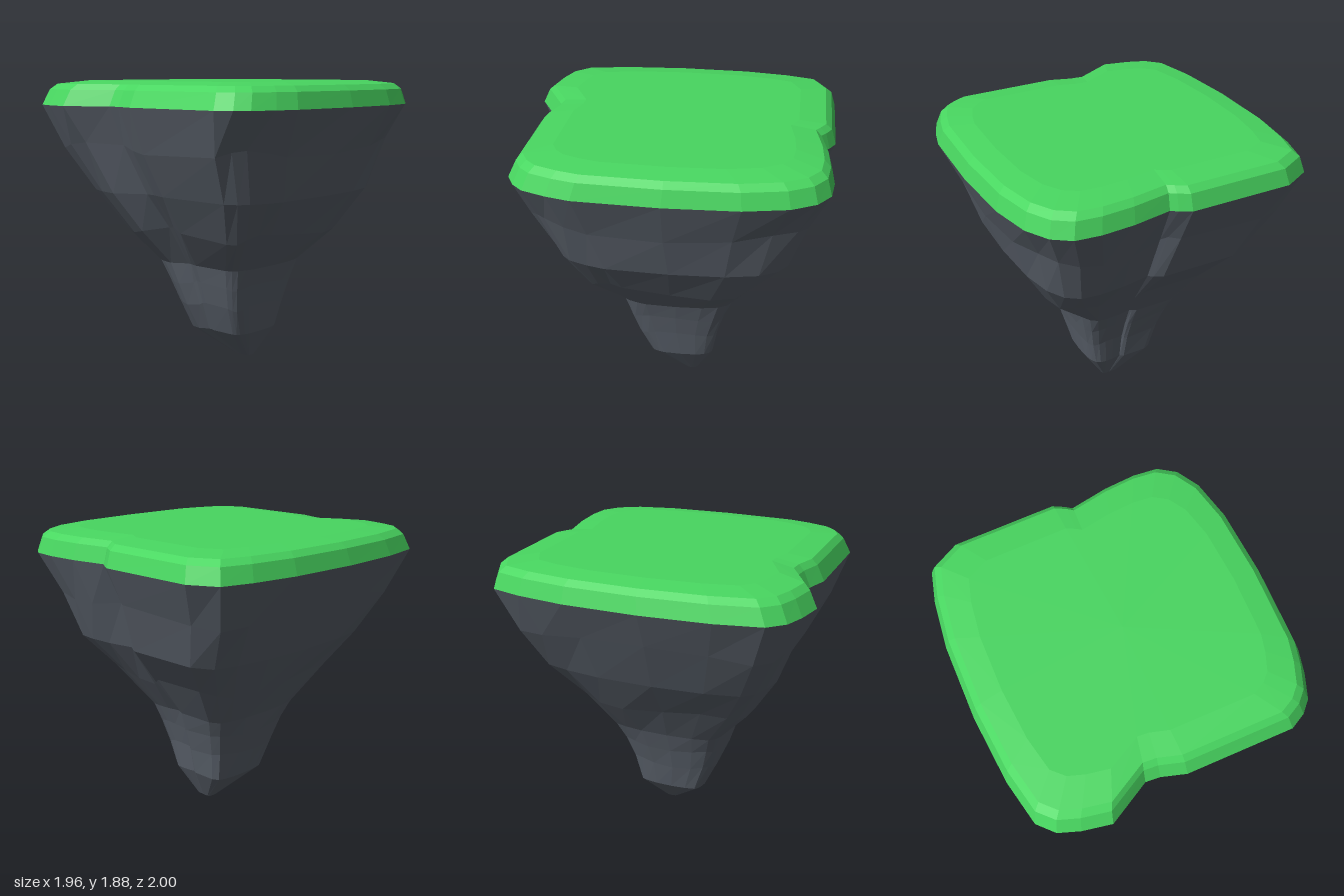
import * as THREE from 'three';

// Plan outline (x, z) of the island rim, anticlockwise from above, with a notch front and back
const OUTLINE = [
  [-0.91, 0.81], [-0.82, 0.91], [-0.69, 0.96], [-0.51, 1.0], [-0.24, 0.86], [-0.15, 0.87], [0, 0.92],
  [0.68, 0.94], [0.78, 0.89], [0.85, 0.82], [0.91, 0.67], [0.95, 0.52], [0.98, 0], [0.97, -0.45],
  [0.92, -0.72], [0.84, -0.87], [0.73, -0.95], [0.57, -0.97], [0.36, -0.96], [0.11, -0.92],
  [0.07, -0.95], [0, -0.99], [-0.67, -1.0], [-0.85, -0.91], [-0.91, -0.71], [-0.96, -0.4],
  [-0.98, 0.08], [-0.96, 0.52],
];

// Fits the outline into a box at height y; rough shifts the points a little for a chipped look
function ring(y, xMin, xMax, zMin, zMax, rough = 0) {
  return OUTLINE.map(([x, z], i) => {
    const chip = 1 - rough * (0.5 + 0.5 * Math.sin(i * 2.3 + y * 5));
    return new THREE.Vector3(
      (xMin + xMax) / 2 + (x / 0.98) * chip * (xMax - xMin) / 2,
      y + rough * 1.5 * Math.sin(i * 1.1 + y * 3),
      (zMin + zMax) / 2 + z * chip * (zMax - zMin) / 2
    );
  });
}

// Skins a stack of rings from bottom to top and closes the chosen ends
function loft(rings, closeBottom, closeTop) {
  const pos = [];
  const tri = (a, b, c) => pos.push(...a.toArray(), ...b.toArray(), ...c.toArray());
  const n = OUTLINE.length;
  const middle = (r) => r.reduce((s, p) => s.add(p), new THREE.Vector3()).divideScalar(n);
  for (let k = 0; k < rings.length - 1; k++) {
    const lo = rings[k], hi = rings[k + 1];
    for (let i = 0; i < n; i++) {
      const j = (i + 1) % n;
      tri(lo[i], lo[j], hi[j]);
      tri(lo[i], hi[j], hi[i]);
    }
  }
  const first = rings[0], last = rings[rings.length - 1];
  const c0 = middle(first), c1 = middle(last);
  for (let i = 0; i < n; i++) {
    const j = (i + 1) % n;
    if (closeBottom) tri(c0, first[j], first[i]);
    if (closeTop) tri(c1, last[i], last[j]);
  }
  const geo = new THREE.BufferGeometry();
  geo.setAttribute('position', new THREE.Float32BufferAttribute(pos, 3));
  geo.computeVertexNormals();
  return geo;
}

function part(name, geo, color) {
  const mesh = new THREE.Mesh(geo, new THREE.MeshStandardMaterial({ color, flatShading: true }));
  mesh.name = name;
  return mesh;
}

export function createModel() {
  const island = new THREE.Group();
  island.name = 'floatingIsland';

  // Tapering rock: y, xMin, xMax, zMin, zMax, roughness
  const rock = [
    [0, 0, 0.12, -0.14, -0.06],
    [0.21, -0.22, 0.255, -0.26, 0.19],
    [0.4, -0.27, 0.3, -0.3, 0.28, 0.01],
    [0.55, -0.32, 0.34, -0.35, 0.33, 0.01],
    [0.68, -0.375, 0.38, -0.4, 0.37],
    [0.92, -0.53, 0.61, -0.58, 0.575, 0.02],
    [1.17, -0.7, 0.77, -0.77, 0.74],
    [1.47, -0.87, 0.87, -0.89, 0.895, 0.02],
    [1.73, -0.98, 0.98, -1, 1],
  ].map((r) => ring(...r));
  island.add(part('rock', loft(rock, true, false), 0x5b626c));

  // Grass cap with a rounded-over rim and a flat top
  const grass = [
    [1.73, -0.98, 0.98, -1, 1],
    [1.83, -0.95, 0.95, -0.97, 0.95],
    [1.865, -0.91, 0.91, -0.93, 0.91],
    [1.885, -0.77, 0.77, -0.76, 0.74],
  ].map((r) => ring(...r));
  island.add(part('grass', loft(grass, false, true), 0x48d660));

  return island;
}
